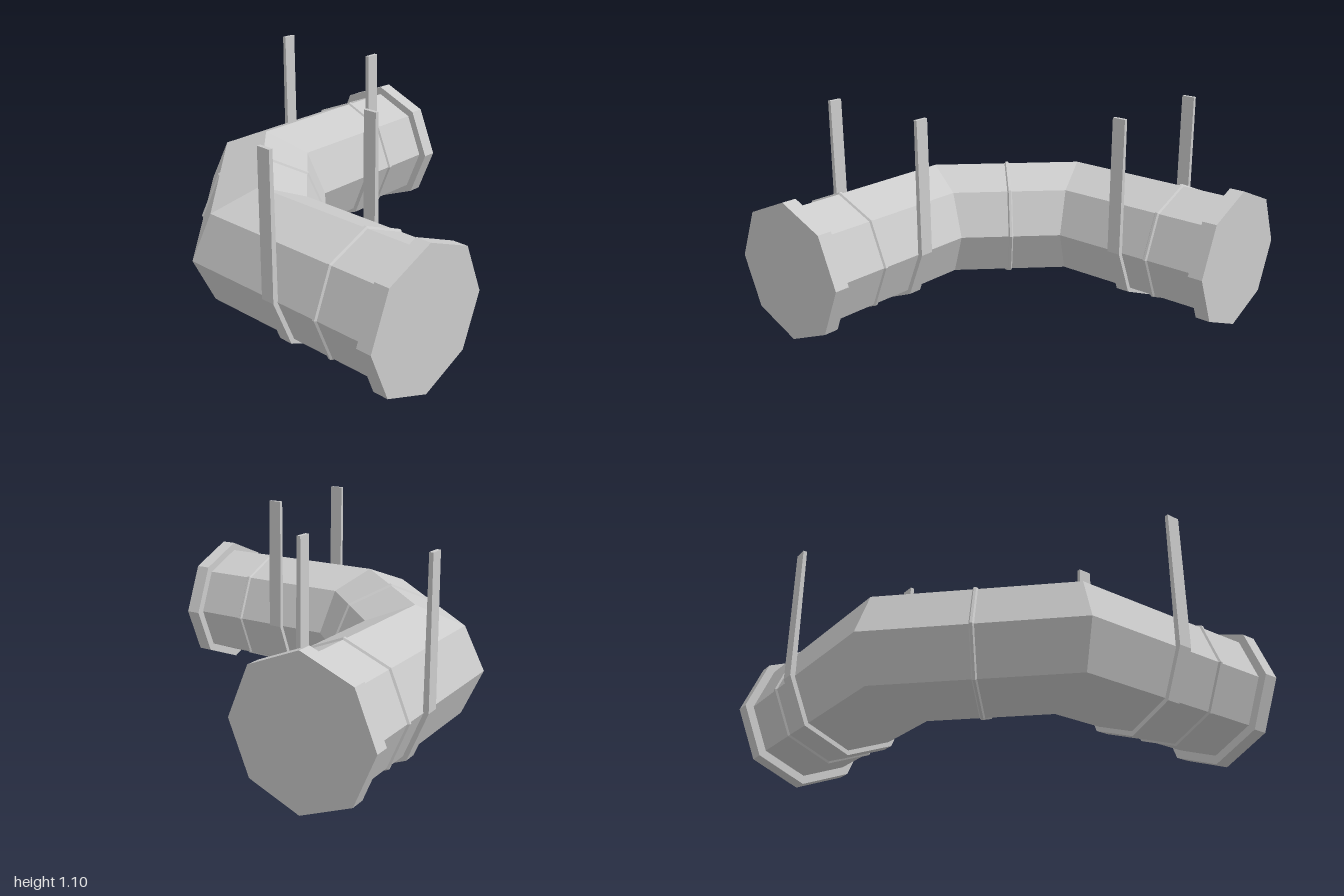
import * as THREE from 'three';

const SIDES = 8, R = 0.325, AXIS_Y = 0.375, OFF = -0.63, BEND = -0.055;
const MITRE = Math.tan(Math.PI / 8);
const material = new THREE.MeshStandardMaterial({ color: 0xcccccc, flatShading: true });

// Octagonal loft; each section is [x, z, lateralX, lateralZ, radius]
function loft(name, sections, capped) {
  const pos = [], idx = [];
  for (const [x, z, lx, lz, r] of sections) {
    for (let j = 0; j < SIDES; j++) {
      const a = (j / SIDES) * Math.PI * 2, c = Math.cos(a) * r;
      pos.push(x + lx * c, AXIS_Y + Math.sin(a) * r, z + lz * c);
    }
  }
  const last = (sections.length - 1) * SIDES;
  for (let i = 0; i < last; i += SIDES) {
    for (let j = 0; j < SIDES; j++) {
      const k = (j + 1) % SIDES;
      const a = i + j, b = i + k, c = a + SIDES, d = b + SIDES;
      idx.push(a, c, b, b, c, d);
    }
  }
  if (capped) {
    for (let j = 1; j < SIDES - 1; j++) {
      idx.push(0, j, j + 1, last, last + j + 1, last + j);
    }
  }
  let geo = new THREE.BufferGeometry();
  geo.setAttribute('position', new THREE.Float32BufferAttribute(pos, 3));
  geo.setIndex(idx);
  geo = geo.toNonIndexed();
  geo.computeVertexNormals();
  const mesh = new THREE.Mesh(geo, material);
  mesh.name = name;
  return mesh;
}

// Short collar swept along direction (dx, dz); profile lists [offset, radius]
function collar(name, x, z, dx, dz, profile) {
  return loft(name, profile.map(([t, r]) => [x + dx * t, z + dz * t, -dz, dx, r]), true);
}

// U-shaped strap: octagonal cradle under the pipe with two upright legs
function hanger(name) {
  const top = 1.1 - AXIS_Y, shape = new THREE.Shape();
  const arc = (r, j) => [r * Math.cos(j * Math.PI / 4), -r * Math.sin(j * Math.PI / 4)];
  shape.moveTo(-0.344, top);
  for (let j = 4; j >= 0; j--) shape.lineTo(...arc(0.35, j));
  shape.lineTo(0.344, top);
  shape.lineTo(0.324, top);
  for (let j = 0; j <= 4; j++) shape.lineTo(...arc(0.322, j));
  shape.lineTo(-0.324, top);
  shape.closePath();
  const geo = new THREE.ExtrudeGeometry(shape, { depth: 0.074, bevelEnabled: false });
  geo.translate(0, 0, -0.037);
  const mesh = new THREE.Mesh(geo, material);
  mesh.name = name;
  return mesh;
}

export function createModel() {
  const group = new THREE.Group();
  group.name = 'pipeElbow';

  // Pipe with two mitred bends
  group.add(loft('pipe', [
    [OFF, 0.96, 1, 0, R],
    [OFF, BEND, 1, MITRE, R],
    [BEND, OFF, MITRE, 1, R],
    [0.96, OFF, 0, 1, R],
  ], true));

  // End flanges
  const flange = [[-0.04, 0.371], [0.04, 0.371]];
  group.add(collar('frontFlange', OFF, 0.96, 0, -1, flange));
  group.add(collar('sideFlange', 0.96, OFF, 1, 0, flange));

  // Raised seams
  const seam = [[-0.013, R], [-0.006, 0.335], [0.006, 0.335], [0.013, R]];
  const mid = (OFF + BEND) / 2, s = Math.SQRT1_2;
  group.add(collar('frontSeam', OFF, 0.637, 0, -1, seam));
  group.add(collar('middleSeam', mid, mid, s, -s, seam));
  group.add(collar('sideSeam', 0.637, OFF, 1, 0, seam));

  // Hanging straps
  const front = hanger('frontHanger');
  front.position.set(OFF, AXIS_Y, 0.37);
  const side = hanger('sideHanger');
  side.position.set(0.455, AXIS_Y, OFF);
  side.rotation.y = Math.PI / 2;
  group.add(front, side);

  return group;
}
